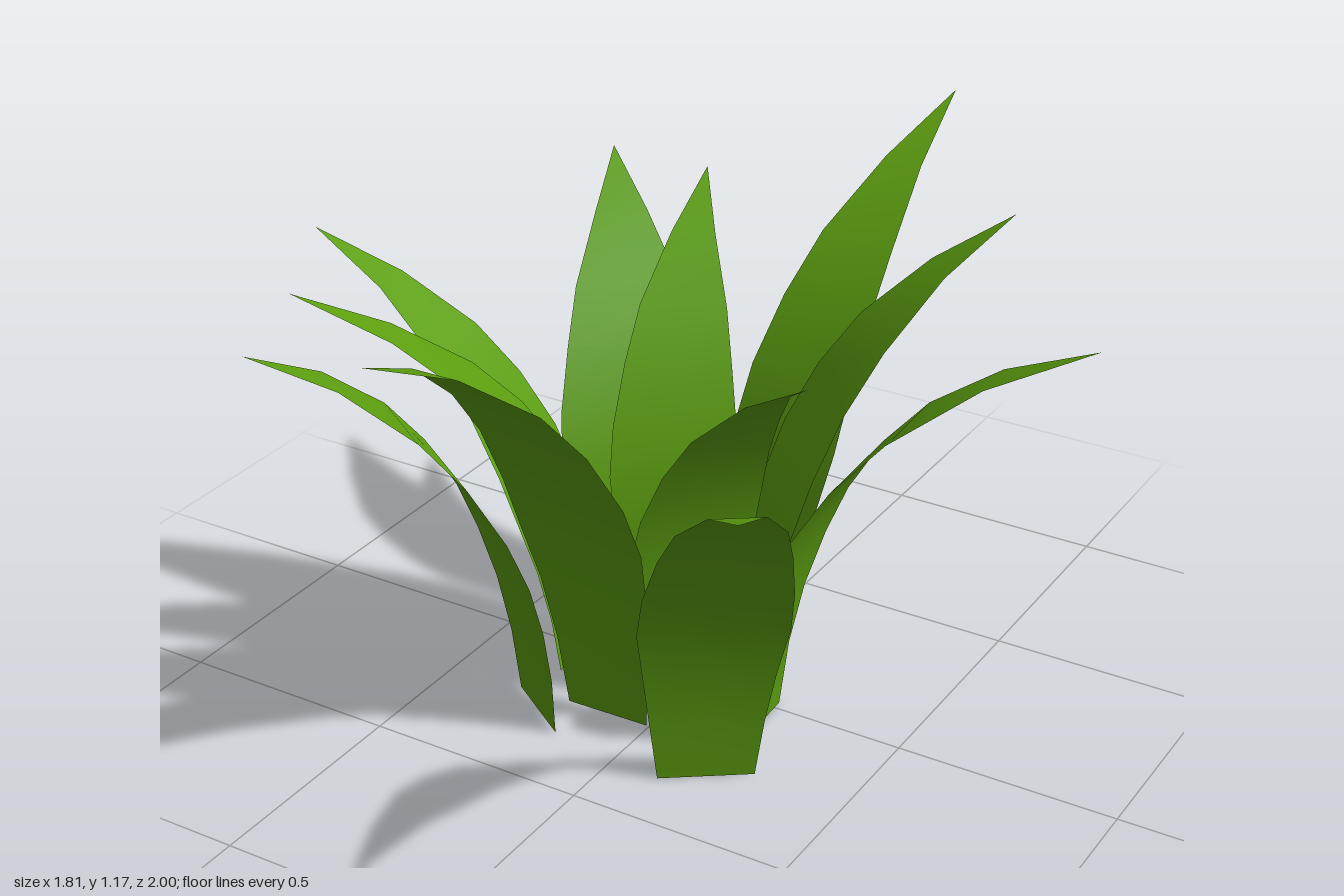
import * as THREE from 'three';

// Each leaf: base centre x, z, then tip x, y, z, then width scale, sideways bend
const LEAVES = [
  [-0.02, -0.31, 0.095, 1.09, -1.0, 0.98, -0.012],
  [-0.105, 0.205, -0.087, 1.175, 1.0, 1.03, -0.012],
  [-0.243, 0.27, -0.57, 0.975, 0.755, 1.04, -0.015],
  [0.2, 0.3, 0.585, 0.98, 0.845, 1.08, 0.022],
  [-0.17, 0.022, -0.705, 0.955, 0.445, 1, 0.018],
  [-0.025, 0.03, 0.425, 0.963, 0.3, 1.03, 0],
  [-0.3, 0.02, -0.905, 0.935, 0.105, 1, 0],
  [-0.255, -0.18, -0.615, 0.93, -0.65, 1.2, 0],
  [-0.143, -0.125, -0.372, 0.92, -0.67, 1, 0.01],
  [0.2, 0.08, 0.905, 1.055, 0.047, 1.08, -0.005],
  [0.07, -0.105, 0.495, 1.06, -0.465, 1.07, -0.014],
];

// Leaf cross-sections: position along the arch, width
const ROWS = [[0, 0.19], [0.1, 0.222], [0.2, 0.255], [0.3, 0.288], [0.4, 0.28],
  [0.53, 0.243], [0.66, 0.197], [0.83, 0.1], [1, 0]];

// Flat strip bent along a quadratic arch that rises first, then leans out
function leafGeometry([bx, bz, tx, ty, tz, scale, bend]) {
  const dx = tx - bx, dz = tz - bz, len = Math.hypot(dx, dz);
  const sx = dz / len, sz = -dx / len; // sideways direction
  const pos = [], index = [];
  ROWS.forEach(([t, w], i) => {
    const out = 0.1 * t * (1 - t) + t * t;
    const y = ty * (1.5 * t * (1 - t) + t * t);
    const side = bend * 6.75 * t * t * (1 - t); // strongest two thirds up
    const x = bx + dx * out + sx * side, z = bz + dz * out + sz * side;
    if (w === 0) {
      pos.push(x, y, z);
      return;
    }
    const half = w * scale / 2;
    for (const s of [-half, half]) pos.push(x + sx * s, y, z + sz * s);
    const a = i * 2;
    index.push(a, a + 1, a + 2);
    if (ROWS[i + 1][1] > 0) index.push(a + 1, a + 3, a + 2);
  });
  const g = new THREE.BufferGeometry();
  g.setAttribute('position', new THREE.Float32BufferAttribute(pos, 3));
  g.setIndex(index);
  g.computeVertexNormals();
  return g;
}

export function createModel() {
  const group = new THREE.Group();
  group.name = 'leafyPlant';
  const green = new THREE.MeshStandardMaterial({ color: 0x5c9e10, side: THREE.DoubleSide });
  green.name = 'leafGreen';
  LEAVES.forEach((leaf, i) => {
    const mesh = new THREE.Mesh(leafGeometry(leaf), green);
    mesh.name = `leaf${i + 1}`;
    group.add(mesh);
  });
  return group;
}
